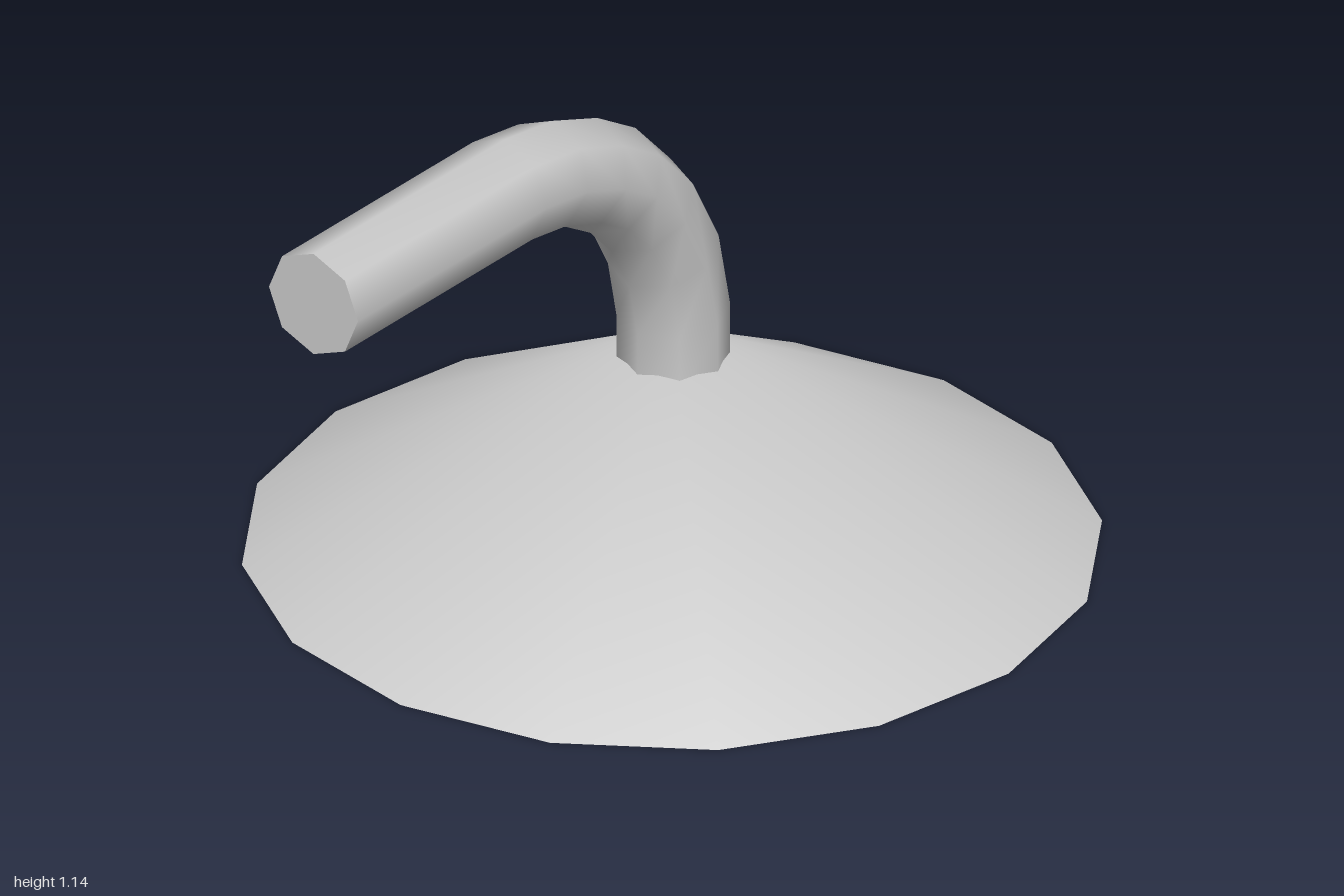
import * as THREE from 'three';

const CENTRE_X = 0.138;
const CONE_RADIUS = 0.862;
const PIPE_RADIUS = 0.114;

// Centre line of the pipe, from inside the cone up to the arm's end
const PATH = [
  [0.142, 0.38], [0.142, 0.53], [0.11, 0.68], [0.04, 0.81], [-0.05, 0.905],
  [-0.15, 0.966], [-0.27, 1.012], [-0.4, 1.031], [-1, 1.031],
].map(([x, y]) => new THREE.Vector2(x, y));

// Capped cylinder whose rows are moved onto the rings of a path in the xy plane
function bentPipe(path, radius, sides) {
  const rows = path.length - 1;
  const geometry = new THREE.CylinderGeometry(radius, radius, rows, sides, rows);
  const pos = geometry.attributes.position;
  const nor = geometry.attributes.normal;
  const direction = (i) => path[i + 1].clone().sub(path[i]).normalize();

  for (let i = 0; i < pos.count; i++) {
    const row = Math.round(pos.getY(i) + rows / 2);
    const t = direction(Math.max(row - 1, 0))
      .add(direction(Math.min(row, rows - 1))).normalize();
    const side = new THREE.Vector2(t.y, -t.x);
    const p = path[row].clone().addScaledVector(side, pos.getX(i));
    const n = side.clone().multiplyScalar(nor.getX(i)).addScaledVector(t, nor.getY(i));
    pos.setXYZ(i, p.x, p.y, pos.getZ(i));
    nor.setXYZ(i, n.x, n.y, nor.getZ(i));
  }
  return geometry;
}

// Cone surface without a base, shaded smoothly over its tip
function openCone(radius, height, sides) {
  const geometry = new THREE.ConeGeometry(radius, height, sides, 1, true);
  const pos = geometry.attributes.position;
  for (let i = 0; i < pos.count; i++) {
    if (pos.getY(i) > 0) geometry.attributes.normal.setXYZ(i, 0, 1, 0);
  }
  return geometry.translate(0, height / 2, 0);
}

export function createModel() {
  const group = new THREE.Group();
  const solid = new THREE.MeshStandardMaterial({ color: 0xcccccc });
  const open = new THREE.MeshStandardMaterial({ color: 0xcccccc, side: THREE.DoubleSide });

  const add = (name, geometry, material, x = 0) => {
    const mesh = new THREE.Mesh(geometry, material);
    mesh.name = name;
    mesh.position.x = x;
    group.add(mesh);
  };

  // Wide cone with a shallow conical recess underneath, meeting at the rim
  add('coneTop', openCone(CONE_RADIUS, 0.492, 16), solid, CENTRE_X);
  add('coneRecess', openCone(CONE_RADIUS, 0.18, 16), open, CENTRE_X);

  // Octagonal pipe rising from the cone and bending to the right
  add('bentPipe', bentPipe(PATH, PIPE_RADIUS, 8), solid);

  return group;
}
